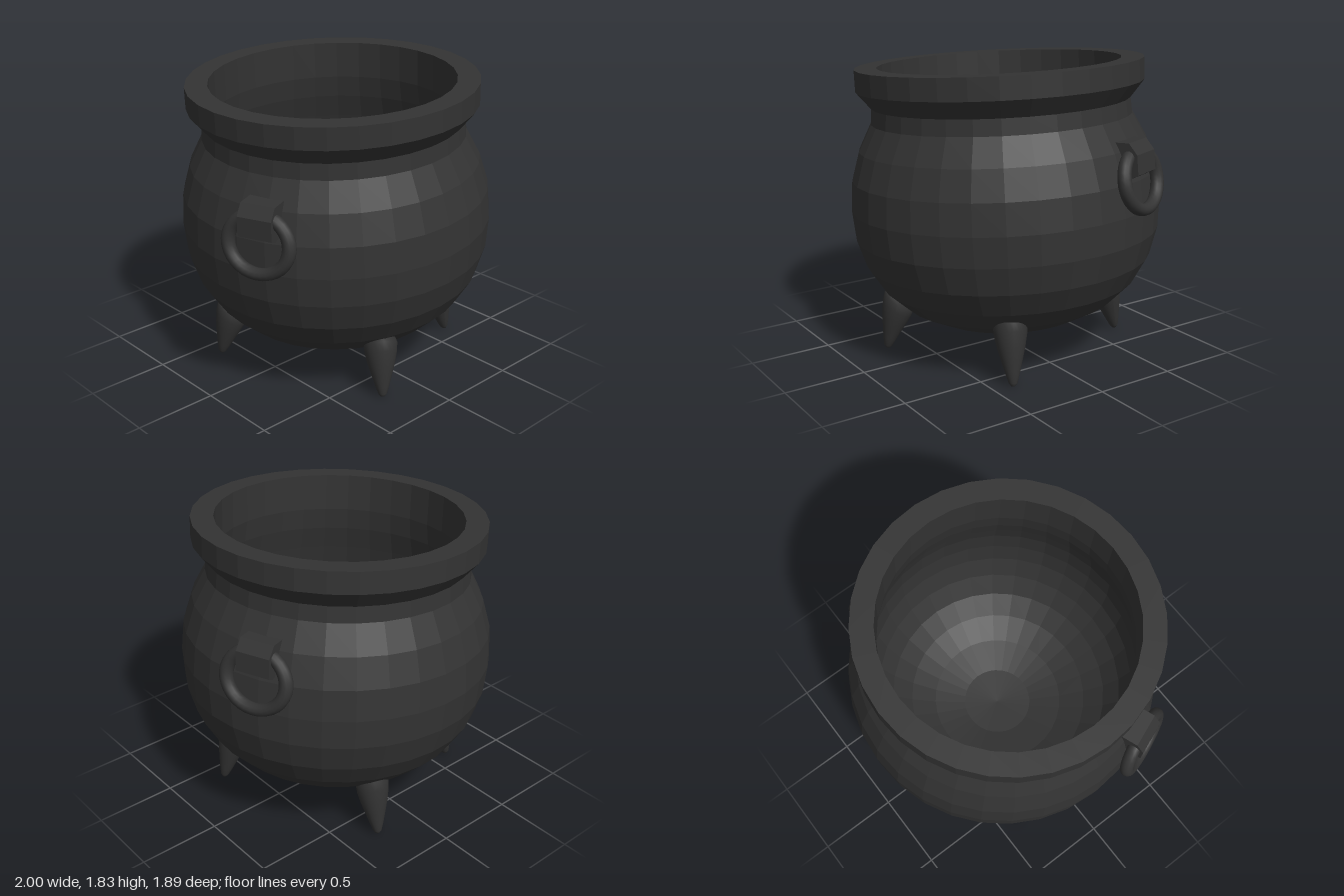
import * as THREE from 'three';

const iron = new THREE.MeshStandardMaterial({ color: 0x333333, flatShading: true });
const smoothIron = new THREE.MeshStandardMaterial({ color: 0x333333 });

const points = (list) => list.map(([x, y]) => new THREE.Vector2(x, y));

function part(name, geometry, material, parent) {
  const mesh = new THREE.Mesh(geometry, material);
  mesh.name = name;
  parent.add(mesh);
  return mesh;
}

export function createModel() {
  const model = new THREE.Group();
  model.name = 'cauldron';

  // Slightly tilted vessel, with its origin at the widest point of the belly
  const vessel = new THREE.Group();
  vessel.name = 'vessel';
  vessel.position.set(0.021, 0.93, 0);
  vessel.rotation.set(0.02, 0, 0.055);
  model.add(vessel);

  // Belly, neck, flared rim and thick-walled hollow as one closed profile
  const profile = points([
    [0, -0.782], [0.25, -0.768], [0.485, -0.71], [0.66, -0.62], [0.79, -0.497],
    [0.88, -0.35], [0.932, -0.18], [0.947, 0], [0.932, 0.185], [0.878, 0.36],
    [0.795, 0.52], [0.787, 0.615], [0.872, 0.72], [0.872, 0.85],
    [0.737, 0.85], [0.738, 0.62], [0.76, 0.48], [0.8, 0.33], [0.835, 0.18],
    [0.848, 0], [0.833, -0.16], [0.78, -0.31], [0.695, -0.435], [0.575, -0.535],
    [0.42, -0.615], [0.22, -0.668], [0, -0.683],
  ]);
  part('pot', new THREE.LatheGeometry(profile, 32), iron, vessel);

  // Two opposite ring handles, each hanging from a bevelled lug
  const lugShape = new THREE.Shape(points([
    [0.8, 0.415], [0.84, 0.25], [0.95, 0.215], [0.99, 0.235], [0.985, 0.35], [0.935, 0.415],
  ]));
  const lugGeometry = new THREE.ExtrudeGeometry(lugShape, { depth: 0.21, bevelEnabled: false });
  lugGeometry.translate(0, 0, -0.105);
  const ringGeometry = new THREE.TorusGeometry(0.19, 0.04, 12, 32);
  ringGeometry.scale(1, 0.9, 1).rotateY(Math.PI / 2);
  for (const [name, turn] of [['leftHandle', 0], ['rightHandle', Math.PI]]) {
    const handle = new THREE.Group();
    handle.name = name;
    handle.position.x = -0.012;
    handle.rotation.y = 0.375 + turn;
    vessel.add(handle);
    part('lug', lugGeometry, iron, handle);
    const ring = part('ring', ringGeometry, smoothIron, handle);
    ring.position.set(0.952, 0.19, 0);
    ring.rotation.z = 0.17;
  }

  // Four horn-like feet, splayed outward, their tops slanted to stay within the wall
  const footProfile = points([
    [0, 0], [0.013, 0.003], [0.026, 0.02], [0.042, 0.07], [0.062, 0.14],
    [0.082, 0.21], [0.097, 0.28], [0.1, 0.33], [0.085, 0.37], [0, 0.38],
  ]);
  const footGeometry = new THREE.LatheGeometry(footProfile, 20);
  const vertices = footGeometry.attributes.position;
  for (let i = 0; i < vertices.count; i++) {
    const y = vertices.getY(i);
    vertices.setY(i, y + 0.5 * vertices.getX(i) * (y / 0.37) ** 2);
  }
  footGeometry.computeVertexNormals();
  // Tip position and the compass angle of each splay, in degrees
  const feet = [[0.66, 0.38, 22], [-0.26, 0.705, 122], [-0.63, -0.375, 220], [0.28, -0.695, 284]];
  for (const [x, z, angle] of feet) {
    const foot = part('foot', footGeometry, smoothIron, model);
    foot.position.set(x, 0.004, z);
    foot.rotation.order = 'YXZ';
    foot.rotation.y = -THREE.MathUtils.degToRad(angle);
    foot.rotation.z = 0.25;
    foot.scale.y = 1 + 0.1 * x;
  }

  return model;
}
